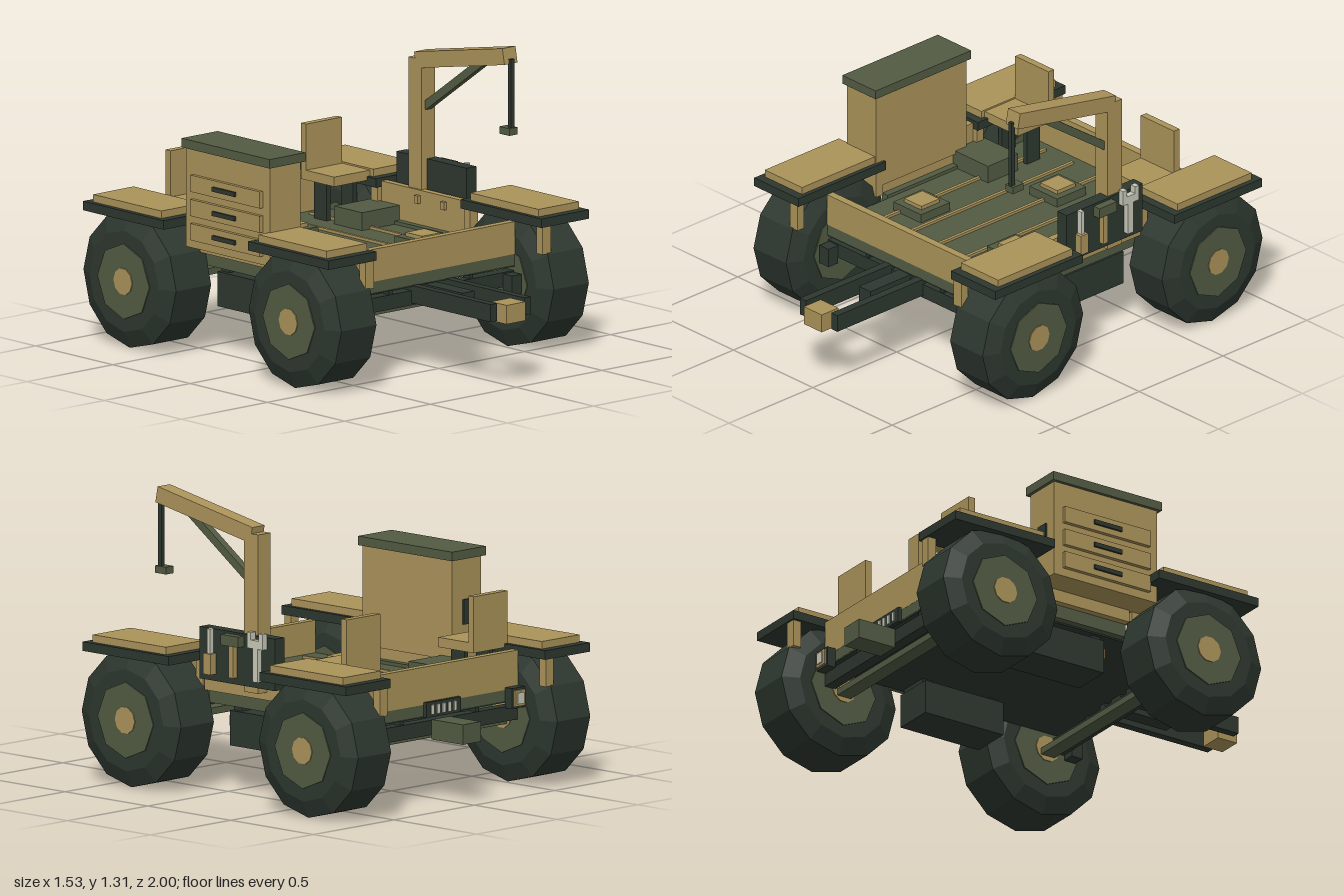
import * as THREE from 'three';

const mat = (name, color) => {
  const m = new THREE.MeshStandardMaterial({ color });
  m.name = name;
  return m;
};

export function createModel() {
  const tan = mat('tan', 0xab935a);
  const dark = mat('dark green', 0x2d372f);
  const green = mat('olive green', 0x525b43);
  const pale = mat('pale metal', 0xc8c9b9);
  const root = new THREE.Group();
  root.name = 'utilityRover';
  // All parts hang on the body, which sets the ride height
  const body = new THREE.Group();
  body.name = 'body';
  body.position.y = -0.004;
  root.add(body);

  // Box given by its minimum and maximum on each axis
  function box(name, m, x0, x1, y0, y1, z0, z1) {
    const mesh = new THREE.Mesh(new THREE.BoxGeometry(x1 - x0, y1 - y0, z1 - z0), m);
    mesh.position.set((x0 + x1) / 2, (y0 + y1) / 2, (z0 + z1) / 2);
    mesh.name = name;
    body.add(mesh);
  }
  // The same box on both sides of the centre line
  function pair(name, m, x0, x1, ...r) {
    box(name + 'Left', m, x0, x1, ...r);
    box(name + 'Right', m, -x1, -x0, ...r);
  }
  // Bar between two (y, z) points at a given x
  function bar(name, m, x, w, h, y0, z0, y1, z1) {
    const len = Math.hypot(y1 - y0, z1 - z0);
    const mesh = new THREE.Mesh(new THREE.BoxGeometry(w, h, len), m);
    mesh.position.set(x, (y0 + y1) / 2, (z0 + z1) / 2);
    mesh.rotation.x = -Math.atan2(y1 - y0, z1 - z0);
    mesh.name = name;
    body.add(mesh);
  }

  // Deck, end walls and floor ribs
  box('deck', green, -0.48, 0.48, 0.385, 0.435, -0.797, 0.457);
  box('underPlate', dark, -0.479, 0.479, 0.378, 0.385, -0.796, 0.456);
  box('frontWall', tan, -0.48, 0.48, 0.434, 0.578, 0.424, 0.46);
  box('rearWall', tan, -0.48, 0.48, 0.434, 0.6, -0.798, -0.762);
  for (const x of [-0.345, -0.173, 0, 0.173, 0.345])
    box('floorRib', tan, x - 0.0075, x + 0.0075, 0.435, 0.447, -0.715, 0.365);

  // Floor hatches
  for (const [x, z] of [[0, -0.462], [-0.295, 0.07], [0.295, 0.07]]) {
    box('hatchBase', green, x - 0.087, x + 0.087, 0.435, 0.475, z - 0.087, z + 0.087);
    box('hatchPad', tan, x - 0.054, x + 0.054, 0.475, 0.492, z - 0.054, z + 0.054);
  }

  // Side rails on sills, with small studs
  pair('sideSill', green, 0.48, 0.513, 0.385, 0.45, -0.44, 0.1);
  pair('sideRail', tan, 0.512, 0.545, 0.445, 0.603, -0.44, 0.1);
  for (const z of [-0.2, -0.03])
    pair('railStud', tan, 0.495, 0.513, 0.545, 0.58, z - 0.012, z + 0.012);

  // Chassis beams, lamps and tanks
  box('frontBeam', dark, -0.48, 0.48, 0.295, 0.36, 0.4, 0.455);
  box('rearBeam', dark, -0.48, 0.48, 0.295, 0.36, -0.797, -0.745);
  for (const z of [-0.77, 0.43])
    pair('beamHanger', dark, 0.225, 0.245, 0.355, 0.38, z - 0.02, z + 0.02);
  pair('frontLamp', dark, 0.415, 0.472, 0.268, 0.354, 0.455, 0.512);
  pair('rearLampCase', dark, 0.4, 0.48, 0.355, 0.445, -0.84, -0.797);
  pair('rearLampRim', tan, 0.408, 0.472, 0.365, 0.435, -0.85, -0.84);
  pair('rearLampLens', pale, 0.42, 0.46, 0.375, 0.425, -0.856, -0.85);
  pair('sideTank', dark, 0.29, 0.48, 0.203, 0.357, -0.4, 0.01);
  for (const z of [-0.37, -0.02])
    pair('tankHanger', dark, 0.32, 0.46, 0.355, 0.38, z - 0.025, z + 0.025);
  pair('tankCap', tan, 0.42, 0.46, 0.285, 0.33, 0.01, 0.03);

  // Wheels, axles and mudguards
  const tyreGeo = new THREE.LatheGeometry(
    [[0.1, -0.135], [0.225, -0.135], [0.3, -0.102], [0.3, 0.102], [0.225, 0.135], [0.1, 0.135]]
      .map(p => new THREE.Vector2(...p)), 12).toNonIndexed();
  tyreGeo.computeVertexNormals();
  const rimGeo = new THREE.CylinderGeometry(0.168, 0.168, 0.28, 8);
  const hubGeo = new THREE.CylinderGeometry(0.06, 0.06, 0.288, 10);
  for (const [end, z] of [['front', 0.37], ['rear', -0.7]]) {
    box(end + 'Axle', green, -0.5, 0.5, 0.268, 0.298, z - 0.035, z + 0.035);
    for (const s of [-1, 1]) {
      const wheel = new THREE.Group();
      wheel.name = end + 'Wheel' + (s > 0 ? 'Left' : 'Right');
      for (const [name, g, m] of [['tyre', tyreGeo, dark], ['rim', rimGeo, green], ['hub', hubGeo, tan]]) {
        const part = new THREE.Mesh(g, m);
        part.name = name;
        wheel.add(part);
      }
      wheel.rotation.z = Math.PI / 2;
      wheel.position.set(s * 0.619, 0.304, z);
      body.add(wheel);
    }
    pair(end + 'Mudguard', dark, 0.48, 0.759, 0.577, 0.617, z - 0.262, z + 0.26);
    pair(end + 'MudguardCap', tan, 0.5, 0.735, 0.617, 0.65, z - 0.222, z + 0.22);
    for (const d of [-0.235, 0.235])
      pair(end + 'MudguardStrut', tan, 0.492, 0.54, 0.455, 0.577, z + d - 0.02, z + d + 0.02);
  }

  // Tow bars and hitch
  pair('towBar', dark, 0.08, 0.118, 0.305, 0.383, 0.4, 0.965);
  box('towTongue', dark, -0.036, 0.036, 0.305, 0.375, 0.4, 0.69);
  box('towHitch', tan, -0.056, 0.056, 0.292, 0.376, 0.9, 1.0);

  // Rear winch box and slotted vent
  box('winchBox', green, -0.056, 0.056, 0.275, 0.363, -0.985, -0.797);
  box('ventPlate', dark, -0.107, 0.107, 0.378, 0.445, -0.815, -0.797);
  for (let i = -2; i <= 2; i++)
    box('ventSlot', pale, i * 0.035 - 0.009, i * 0.035 + 0.009, 0.39, 0.432, -0.82, -0.815);

  // Seats on legs, with a step in front
  pair('seatCushion', tan, 0.29, 0.5, 0.6, 0.643, -0.715, -0.5);
  pair('seatBack', tan, 0.29, 0.5, 0.643, 0.848, -0.715, -0.682);
  for (const x of [0.315, 0.47])
    pair('seatLeg', dark, x - 0.011, x + 0.011, 0.435, 0.6, -0.645, -0.565);
  pair('step', green, 0.29, 0.51, 0.435, 0.515, -0.5, -0.32);

  // Drawer cabinet on the right side
  box('cabinet', tan, -0.675, -0.495, 0.5, 0.94, -0.386, 0.155);
  box('cabinetLid', green, -0.69, -0.48, 0.94, 0.98, -0.4, 0.17);
  for (const y of [0.575, 0.682, 0.79]) {
    box('drawer', tan, -0.693, -0.675, y - 0.037, y + 0.037, -0.34, 0.11);
    box('drawerHandle', dark, -0.703, -0.693, y - 0.01, y + 0.01, -0.19, -0.045);
  }
  box('cabinetHatch', dark, -0.62, -0.56, 0.65, 0.76, -0.394, -0.386);

  // Crane
  box('craneMast', tan, 0.523, 0.599, 0.48, 1.18, -0.277, -0.192);
  bar('craneJib', tan, 0.561, 0.076, 0.072, 1.173, -0.235, 1.282, 0.337);
  bar('craneBrace', green, 0.561, 0.035, 0.036, 0.97, -0.2, 1.222, 0.16);
  box('craneCable', dark, 0.551, 0.571, 0.96, 1.268, 0.335, 0.355);
  box('craneHook', green, 0.537, 0.584, 0.932, 0.964, 0.295, 0.36);

  // Tool board with screwdriver, hammer and spanner
  box('toolBoard', dark, 0.553, 0.611, 0.508, 0.737, -0.39, 0.065);
  box('driverHandle', tan, 0.611, 0.645, 0.538, 0.63, -0.033, 0.012);
  box('driverShaft', pale, 0.611, 0.634, 0.63, 0.738, -0.02, -0.002);
  box('hammerHandle', tan, 0.611, 0.634, 0.538, 0.68, -0.16, -0.133);
  box('hammerHead', green, 0.611, 0.648, 0.68, 0.727, -0.202, -0.097);
  box('spannerHandle', pale, 0.611, 0.636, 0.538, 0.685, -0.31, -0.278);
  box('spannerHead', pale, 0.611, 0.639, 0.685, 0.722, -0.342, -0.247);
  for (const z of [-0.33, -0.259])
    box('spannerJaw', pale, 0.611, 0.639, 0.722, 0.755, z - 0.012, z + 0.012);

  return root;
}
